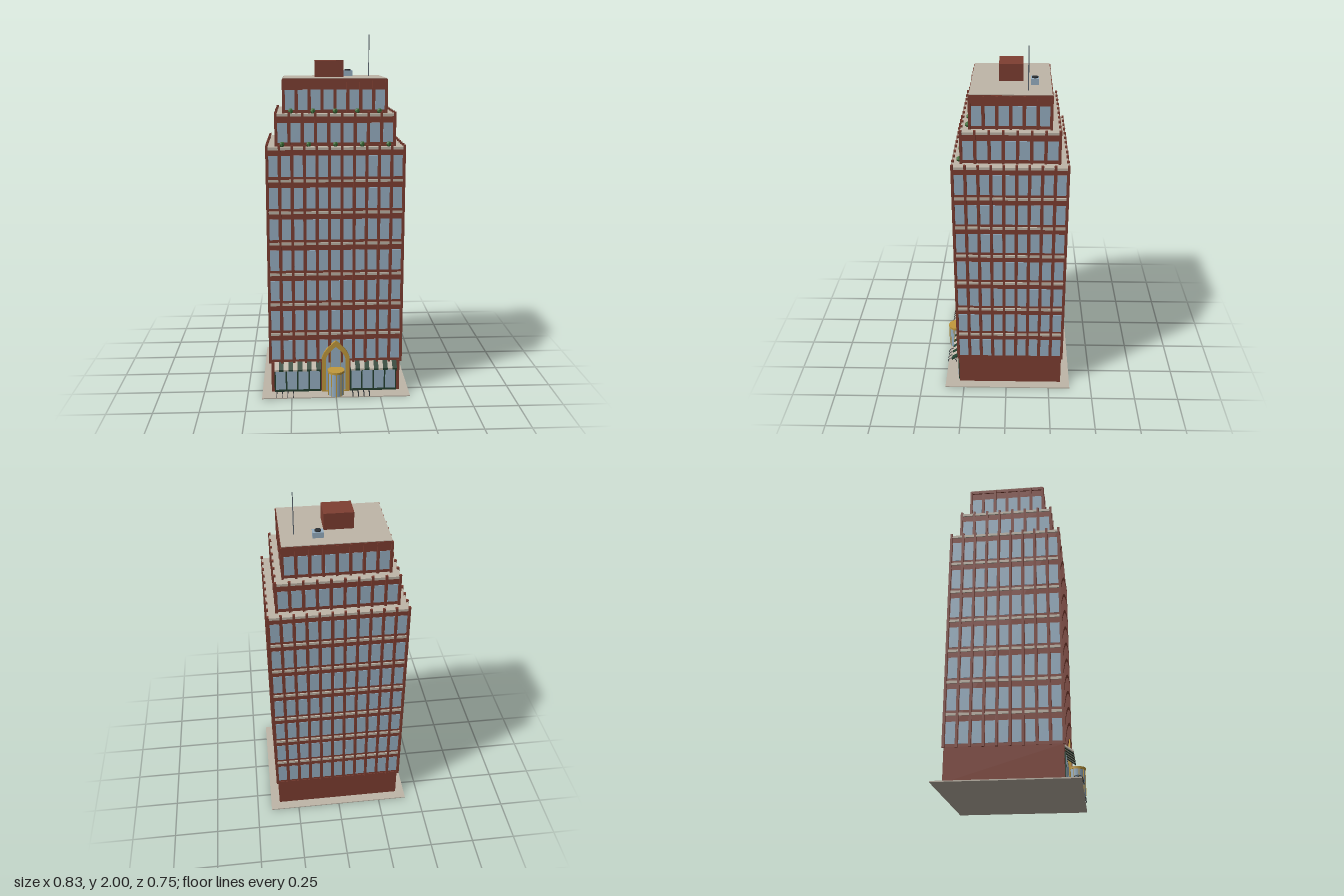
import * as THREE from 'three';
import { mergeGeometries } from 'three/addons/utils/BufferGeometryUtils.js';

const mat = (name, color) => {
  const m = new THREE.MeshStandardMaterial({ color });
  m.name = name;
  return m;
};

// Box given by its centre x, z and its bottom and top y
const box = (w, d, y0, y1, x = 0, z = 0) =>
  new THREE.BoxGeometry(w, y1 - y0, d).translate(x, (y0 + y1) / 2, z);

const ZC = -0.022; // centre of the tower in z

export function createModel() {
  const brick = mat('brick', 0x7f3f32);
  const stone = mat('stone', 0xbfb6a8);
  const glass = mat('window glass', 0x98b1c4);
  const green = mat('awning green', 0x24402f);
  const leaf = mat('leaf green', 0x3f6f38);
  const gold = mat('brass', 0xc29a3c);
  const dark = mat('dark iron', 0x2a2f33);
  const steel = mat('steel', 0x5f6a74);

  const model = new THREE.Group();
  model.name = 'officeTower';
  const add = (name, material, geos, parent = model) => {
    const list = [].concat(geos);
    const mesh = new THREE.Mesh(list.length > 1 ? mergeGeometries(list) : list[0], material);
    mesh.name = name;
    parent.add(mesh);
    return mesh;
  };

  // Pavement and ground floor
  add('pavement', stone, box(0.834, 0.735, 0, 0.006, 0, -0.0075));
  add('groundFloor', brick, box(0.73, 0.6, 0.006, 0.185, 0, ZC));

  // Tower tiers, hx and hz are half sizes to the centres of the piers
  const tiers = [
    { name: 'lowerTier', hx: 0.37, hz: 0.302, y0: 0.185, y1: 1.408, floors: 7, nx: 11, nz: 9, pierTop: 1.42, win: [0.015, 0.13] },
    { name: 'middleTier', hx: 0.321, hz: 0.257, y0: 1.408, y1: 1.582, floors: 1, nx: 9, nz: 7, pierTop: 1.592, win: [0.02, 0.125] },
    { name: 'upperTier', hx: 0.279, hz: 0.211, y0: 1.582, y1: 1.768, floors: 1, nx: 8, nz: 6, pierTop: 1.762, win: [0.018, 0.125] },
  ];
  tiers.forEach((t, index) => {
    const g = new THREE.Group();
    g.name = t.name;
    model.add(g);
    const bx = t.hx - 0.005, bz = t.hz - 0.005;
    const top = index === 2;
    add('walls', brick, box(bx * 2, bz * 2, t.y0, t.y1 - 0.004, 0, ZC), g);

    // Piers around the edge
    const piers = [];
    const pier = (x, z) => piers.push(box(0.013, 0.013, t.y0 - 0.004, t.pierTop, x, z + ZC));
    for (let i = 0; i <= t.nx; i++)
      for (const s of [-1, 1]) pier(-t.hx + (2 * t.hx * i) / t.nx, s * t.hz);
    for (let i = 1; i < t.nz; i++)
      for (const s of [-1, 1]) pier(s * t.hx, -t.hz + (2 * t.hz * i) / t.nz);
    add('piers', brick, piers, g);

    // Windows on all four sides and a stone belt above each floor
    const panes = [], belts = [];
    const pitch = (t.y1 - t.y0) / t.floors;
    for (let f = 0; f < t.floors; f++) {
      const y = t.y0 + pitch * f, a = y + t.win[0], b = y + t.win[1];
      for (const s of [-1, 1]) {
        for (let i = 0; i < t.nx; i++) {
          const w = (2 * t.hx) / t.nx;
          panes.push(box(w - 0.018, 0.004, a, b, -t.hx + w * (i + 0.5), s * bz + ZC));
        }
        for (let i = 0; i < t.nz; i++) {
          const w = (2 * t.hz) / t.nz;
          panes.push(box(0.004, w - 0.018, a, b, s * bx, -t.hz + w * (i + 0.5) + ZC));
        }
      }
      if (!top) belts.push(box(t.hx * 2 + 0.004, t.hz * 2 + 0.004, y + pitch - 0.014, y + pitch, 0, ZC));
    }
    add('windows', glass, panes, g);
    if (top) {
      add('parapet', brick, box(t.hx * 2 + 0.004, t.hz * 2 + 0.004, 1.748, 1.766, 0, ZC), g);
      add('roof', stone, box(t.hx * 2 + 0.002, t.hz * 2 + 0.002, 1.766, 1.769, 0, ZC), g);
    } else add('beltCourses', stone, belts, g);
  });

  // Rooftop equipment
  add('roofHouse', brick, box(0.158, 0.13, 1.766, 1.86, -0.026, -0.022));
  add('coolingUnit', glass, box(0.057, 0.041, 1.766, 1.8, 0.088, -0.147));
  add('coolingFan', dark, new THREE.CylinderGeometry(0.017, 0.017, 0.008, 16).translate(0.088, 1.802, -0.147));
  add('antenna', steel, new THREE.CylinderGeometry(0.0025, 0.003, 0.234, 6).translate(0.208, 1.883, -0.112));

  // Terrace shrubs
  const shrubs = [];
  for (let i = -2; i <= 2; i++) {
    shrubs.push(new THREE.IcosahedronGeometry(0.0155, 0).translate(i * 0.144, 1.42, 0.248));
    shrubs.push(new THREE.IcosahedronGeometry(0.0155, 0).translate(i * 0.12, 1.594, 0.201));
  }
  add('shrubs', leaf, shrubs);

  // Shop fronts, striped awnings and bicycle racks
  const section = new THREE.Shape([
    [0.278, 0.186], [0.278, 0.178], [0.322, 0.146], [0.322, 0.156],
  ].map(([z, y]) => new THREE.Vector2(z, y)));
  const stripeW = 0.0262;
  const stripe = (x) => new THREE.ExtrudeGeometry(section, { depth: stripeW, bevelEnabled: false })
    .rotateY(-Math.PI / 2).translate(x + stripeW, 0, 0);
  for (const [name, x0, rackX] of [['rightShop', -0.347, -0.335], ['leftShop', 0.084, 0.094]]) {
    const g = new THREE.Group();
    g.name = name;
    model.add(g);
    const light = [], deep = [], panes = [], racks = [];
    for (let i = 0; i < 10; i++) (i % 2 ? deep : light).push(stripe(x0 + i * stripeW));
    add('awningLightStripes', stone, light, g);
    add('awningGreenStripes', green, deep, g);
    add('shopFrame', green, box(0.264, 0.008, 0.006, 0.15, x0 + 0.131, 0.28), g);
    for (let i = 0; i < 4; i++)
      panes.push(box(0.056, 0.004, 0.02, 0.132, x0 + 0.034 + i * 0.0647, 0.284));
    add('shopWindows', glass, panes, g);
    for (let i = 0; i < 4; i++)
      racks.push(new THREE.TorusGeometry(0.026, 0.0022, 6, 12, Math.PI)
        .rotateY(Math.PI / 2).translate(rackX + i * 0.0312, 0.008, 0.338));
    add('bicycleRacks', dark, racks, g);
  }

  // Pointed entrance arch with glazing
  const archPath = (Path, w, spring, apex) => {
    const p = new Path();
    p.moveTo(-w, 0.006);
    p.lineTo(w, 0.006);
    p.lineTo(w, spring);
    p.quadraticCurveTo(w * 0.85, spring + (apex - spring) * 0.5, 0, apex);
    p.quadraticCurveTo(-w * 0.85, spring + (apex - spring) * 0.5, -w, spring);
    p.closePath();
    return p;
  };
  const arch = archPath(THREE.Shape, 0.079, 0.21, 0.312);
  arch.holes.push(archPath(THREE.Path, 0.055, 0.205, 0.277));
  // keep the hole clear of the outer edge at the foot
  arch.holes[0] = new THREE.Path(arch.holes[0].getPoints(6).map((p) => new THREE.Vector2(p.x, Math.max(p.y, 0.012))));
  add('entranceArch', gold, new THREE.ExtrudeGeometry(arch, { depth: 0.016, bevelEnabled: false, curveSegments: 6 })
    .translate(0, 0, 0.277));
  add('entranceGlass', glass, new THREE.ExtrudeGeometry(archPath(THREE.Shape, 0.06, 0.207, 0.285),
    { depth: 0.008, bevelEnabled: false, curveSegments: 6 }).translate(0, 0, 0.278));
  add('archMullions', gold, [-0.028, 0.028].map((x) => box(0.004, 0.004, 0.15, 0.24, x, 0.287)));

  // Revolving door drum
  const sides = 10, cz = 0.322;
  const drum = add('doorDrum', glass, new THREE.CylinderGeometry(0.045, 0.045, 0.134, sides).translate(0, 0.073, cz));
  drum.material = glass;
  add('doorCanopy', gold, new THREE.CylinderGeometry(0.049, 0.049, 0.013, sides).translate(0, 0.1465, cz));
  const posts = [];
  for (let i = 0; i < sides; i++) {
    const a = (i / sides) * Math.PI * 2;
    posts.push(box(0.004, 0.004, 0.006, 0.14, Math.sin(a) * 0.045, cz + Math.cos(a) * 0.045));
  }
  add('doorPosts', gold, posts);

  return model;
}
